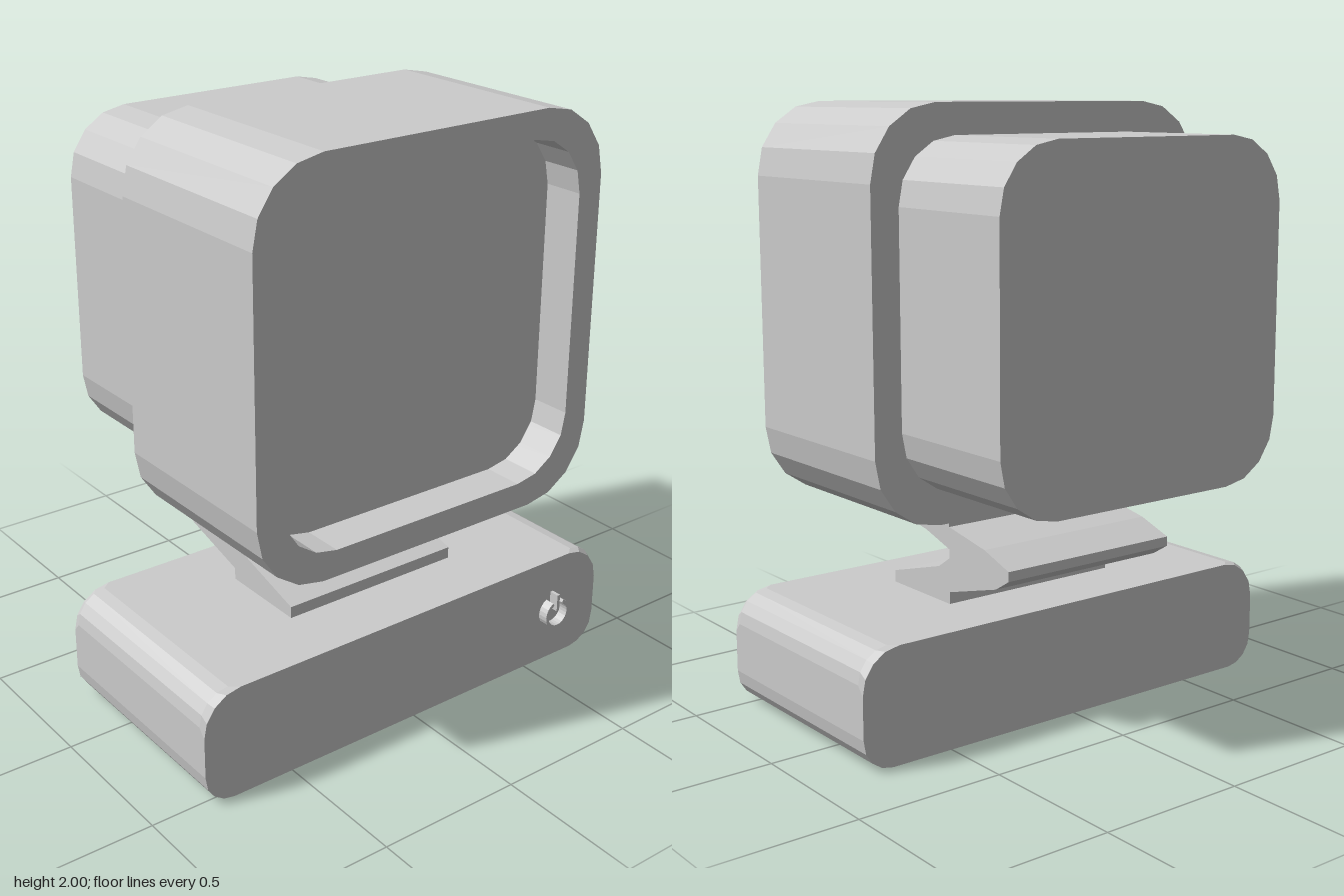
import * as THREE from 'three';
import { ConvexGeometry } from 'three/addons/geometries/ConvexGeometry.js';

const material = new THREE.MeshStandardMaterial({ color: 0xcccccc, flatShading: true });

// Rounded rectangle outline, counter-clockwise, with four facets per corner
function roundedOutline(halfWidth, bottom, top, rBottom, rTop = rBottom, facets = 4) {
  const points = [];
  const corners = [[1, 1], [-1, 1], [-1, -1], [1, -1]];
  corners.forEach(([sx, sy], i) => {
    const r = sy > 0 ? rTop : rBottom;
    const cx = sx * (halfWidth - r);
    const cy = sy > 0 ? top - r : bottom + r;
    for (let k = 0; k <= facets; k++) {
      const a = (i + k / facets) * Math.PI / 2;
      points.push(new THREE.Vector2(cx + r * Math.cos(a), cy + r * Math.sin(a)));
    }
  });
  return points;
}

// Extrude an outline drawn in the side plane (u = -z, v = y) from x0 to x1
function sidePrism(outline, x0, x1, hole) {
  const shape = new THREE.Shape(outline);
  if (hole) shape.holes.push(new THREE.Path(hole));
  const geometry = new THREE.ExtrudeGeometry(shape, { depth: x1 - x0, bevelEnabled: false });
  return geometry.rotateY(Math.PI / 2).translate(x0, 0, 0);
}

export function createModel() {
  const model = new THREE.Group();
  model.name = 'desktopComputer';
  const add = (name, geometry, parent = model) => {
    const mesh = new THREE.Mesh(geometry, material);
    mesh.name = name;
    parent.add(mesh);
    return mesh;
  };

  // Monitor: deep bezel, recessed screen and smaller rear housing
  const monitor = new THREE.Group();
  monitor.name = 'monitor';
  model.add(monitor);
  const screenOutline = roundedOutline(0.57, 0.77, 1.91, 0.2);
  add('bezel', sidePrism(roundedOutline(0.66, 0.68, 2, 0.24), -0.09, 0.585, screenOutline), monitor);
  add('screen', sidePrism(screenOutline, -0.09, 0.445), monitor);
  add('rearHousing', sidePrism(roundedOutline(0.56, 0.785, 1.9, 0.21), -0.59, -0.09), monitor);

  // Zigzag stand, extruded across the width
  const zigzag = [
    [-0.02, 0.69], [-0.02, 0.645], [-0.21, 0.61], [-0.335, 0.567], [-0.335, 0.535],
    [-0.27, 0.495], [-0.02, 0.425], [-0.02, 0.38], [0.3, 0.38], [0.3, 0.425],
    [0.04, 0.5], [-0.02, 0.54], [-0.02, 0.57], [0.11, 0.61], [0.54, 0.685], [0.54, 0.69],
  ].map(([x, y]) => new THREE.Vector2(x, y));
  const stand = new THREE.ExtrudeGeometry(new THREE.Shape(zigzag), { depth: 0.67, bevelEnabled: false });
  add('stand', stand.translate(0, 0, -0.335));

  // Base slab: the upper corners are cut back slightly at both end faces
  const sections = [[-0.255, 0.135], [-0.23, 0.105], [0.505, 0.105], [0.53, 0.135]];
  const basePoints = sections.flatMap(([x, rTop]) =>
    roundedOutline(0.825, 0.005, 0.385, 0.105, rTop).map((p) => new THREE.Vector3(x, p.y - 0.005 * (p.y < 0.1), p.x)));
  add('base', new ConvexGeometry(basePoints));

  // Power button: open ring with a short bar in the gap
  const button = new THREE.Group();
  button.name = 'powerButton';
  button.position.set(0.525, 0.185, -0.617);
  model.add(button);
  const gap = 0.45;
  const ring = [];
  const steps = 20;
  for (const [r, dir] of [[0.055, 1], [0.043, -1]]) {
    for (let k = 0; k <= steps; k++) {
      const t = dir > 0 ? k / steps : 1 - k / steps;
      const a = Math.PI / 2 + gap + t * (2 * Math.PI - 2 * gap);
      ring.push(new THREE.Vector2(r * Math.cos(a), r * Math.sin(a)));
    }
  }
  add('buttonRing', sidePrism(ring, 0, 0.04), button);
  add('buttonBar', new THREE.BoxGeometry(0.04, 0.062, 0.012).translate(0.02, 0.044, 0), button);

  return model;
}
